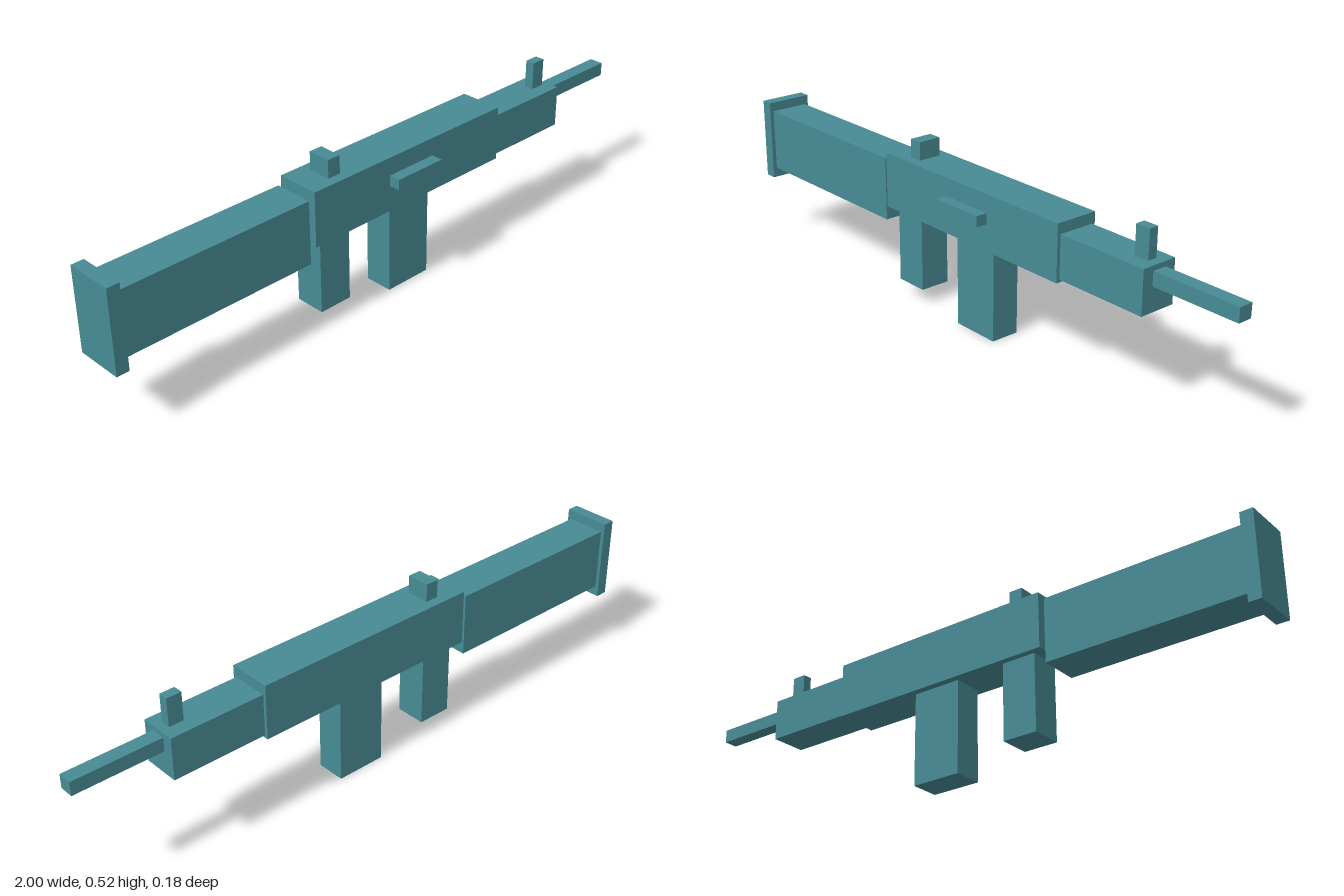
import * as THREE from 'three';

export function createModel() {
  const model = new THREE.Group();
  model.name = 'blockRifle';
  const teal = new THREE.MeshStandardMaterial({ color: 0x478b94 });
  teal.name = 'teal';

  // Box given by its limits on each axis
  function block(name, [x0, x1], [y0, y1], [z0, z1]) {
    const mesh = new THREE.Mesh(new THREE.BoxGeometry(x1 - x0, y1 - y0, z1 - z0), teal);
    mesh.position.set((x0 + x1) / 2, (y0 + y1) / 2, (z0 + z1) / 2);
    mesh.name = name;
    model.add(mesh);
  }

  // Shoulder end
  block('buttPlate', [-1, -0.961], [0.208, 0.47], [-0.09, 0.06]);
  block('stock', [-0.961, -0.34], [0.24, 0.44], [-0.078, 0.047]);

  // Main body and barrel
  block('receiver', [-0.325, 0.423], [0.29, 0.463], [-0.084, 0.054]);
  block('handguard', [0.423, 0.722], [0.298, 0.43], [-0.073, 0.043]);
  block('barrel', [0.722, 1], [0.372, 0.415], [-0.038, 0.007]);

  // Parts below the body
  block('grip', [-0.293, -0.183], [0.052, 0.29], [-0.064, 0.034]);
  block('magazine', [-0.018, 0.142], [0, 0.29], [-0.061, 0.031]);

  // Sights and side handle
  block('rearSight', [-0.245, -0.202], [0.463, 0.52], [-0.052, 0.022]);
  block('frontSight', [0.65, 0.697], [0.432, 0.52], [-0.03, 0]);
  block('sideHandle', [-0.039, 0.136], [0.372, 0.406], [0.054, 0.091]);

  return model;
}
